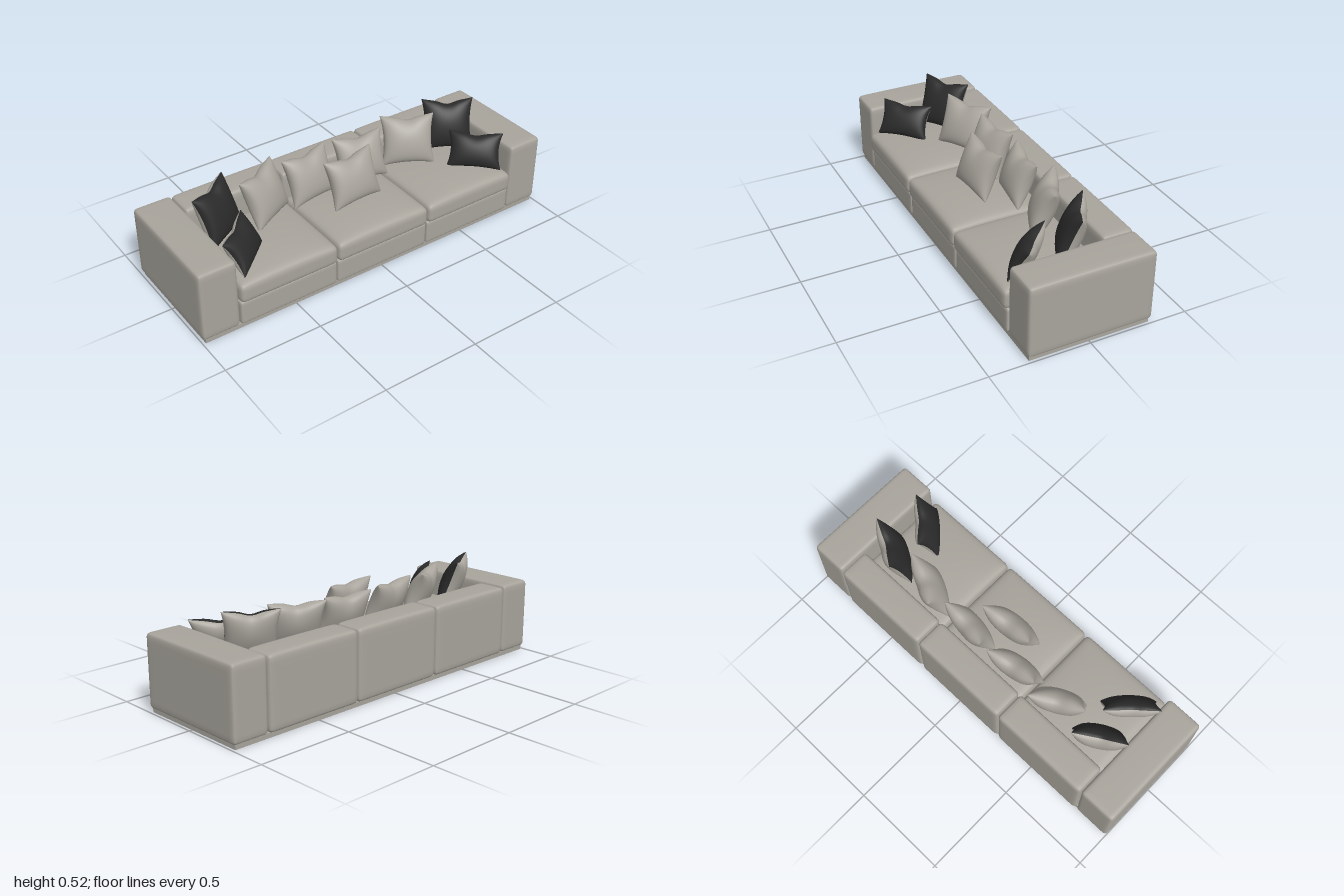
import * as THREE from 'three';
import { mergeVertices } from 'three/addons/utils/BufferGeometryUtils.js';

const fabric = new THREE.MeshStandardMaterial({ color: 0xa8a49c });
fabric.name = 'warm grey fabric';
const darkFabric = new THREE.MeshStandardMaterial({ color: 0x2a2a2b });
darkFabric.name = 'charcoal fabric';

// Smooth rounded block spanning the given ranges; crown swells the top
function softBox([x0, x1], [y0, y1], [z0, z1], r, crown = 0) {
  const half = new THREE.Vector3(x1 - x0, y1 - y0, z1 - z0).multiplyScalar(0.5);
  let geo = new THREE.BoxGeometry(2, 2, 2, 20, 14, 20);
  geo.deleteAttribute('uv');
  geo.deleteAttribute('normal');
  geo = mergeVertices(geo, 1e-5);
  const pos = geo.attributes.position;
  const inner = half.clone().subScalar(r);
  const p = new THREE.Vector3(), core = new THREE.Vector3();
  for (let i = 0; i < pos.count; i++) {
    p.fromBufferAttribute(pos, i);
    // crowd the grid lines towards the edges
    p.set(...p.toArray().map((c) => Math.sin(c * Math.PI / 2))).multiply(half);
    core.copy(p).clamp(inner.clone().negate(), inner);
    p.sub(core).setLength(r).add(core);
    const u = p.x / half.x, v = p.z / half.z;
    if (p.y > 0) p.y += crown * (p.y / half.y) * Math.sqrt(Math.max(0, (1 - u * u) * (1 - v * v)));
    pos.setXYZ(i, p.x, p.y, p.z);
  }
  geo.computeVertexNormals();
  geo.translate((x0 + x1) / 2, (y0 + y1) / 2, (z0 + z1) / 2);
  return geo;
}

// One half of a scatter cushion: pointed corners, pulled-in edges, dented top
function pillowHalf(w, h, t, side) {
  const geo = new THREE.PlaneGeometry(2, 2, 24, 24);
  if (side < 0) geo.rotateY(Math.PI);
  const pos = geo.attributes.position;
  for (let i = 0; i < pos.count; i++) {
    const u = Math.sin(pos.getX(i) * Math.PI / 2), v = Math.sin(pos.getY(i) * Math.PI / 2);
    const a = Math.max(0, 1 - u * u), b = Math.max(0, 1 - v * v);
    const upper = Math.max(0, v);
    const dent = Math.exp(-u * u * 10) * upper * upper;
    const x = w / 2 * u * (1 - 0.13 * b * u * u);
    const y = h / 2 * (v * (1 - 0.11 * a * v * v) - 0.12 * dent);
    const z = side * t * Math.pow(a * b, 0.42) * (1 - 0.35 * dent);
    pos.setXYZ(i, x, y, z);
  }
  geo.computeVertexNormals();
  return geo;
}

export function createModel() {
  const model = new THREE.Group();
  model.name = 'sofa';
  const add = (name, geo, material = fabric, parent = model) => {
    const mesh = new THREE.Mesh(geo, material);
    mesh.name = name;
    parent.add(mesh);
    return mesh;
  };

  // Plinth
  add('plinth', new THREE.BoxGeometry(1.97, 0.024, 0.61)).position.set(0, 0.012, -0.005);

  // Armrests
  add('leftArm', softBox([0.805, 1], [0.022, 0.388], [-0.322, 0.31], 0.02, 0.004));
  add('rightArm', softBox([-1, -0.805], [0.022, 0.388], [-0.322, 0.31], 0.02, 0.004));

  // Three modules, each with a backrest, a seat base and a seat cushion
  const edges = [-0.803, -0.272, 0.265, 0.803];
  for (let i = 0; i < 3; i++) {
    const span = [edges[i] + 0.002, edges[i + 1] - 0.002];
    add('backrest', softBox(span, [0.022, 0.382], [-0.327, -0.165], 0.022, 0.005));
    add('seatBase', softBox(span, [0.022, 0.152], [-0.18, 0.312], 0.014));
    add('seatCushion', softBox(span, [0.148, 0.247], [-0.17, 0.326], 0.026, 0.03));
  }

  // Scatter cushions: name, centre, width, height, half thickness, turn, tilt, front
  const pillows = [
    ['centrePillow', [-0.005, 0.385, 0.055], 0.29, 0.25, 0.06, 4, 22, fabric],
    ['backPillow', [-0.165, 0.385, -0.085], 0.275, 0.25, 0.058, 8, 22, fabric],
    ['backPillow', [0.14, 0.38, -0.085], 0.275, 0.245, 0.058, -8, 22, fabric],
  ];
  for (const s of [-1, 1]) {
    pillows.push(
      ['sidePillow', [s * 0.43, 0.388, -0.07], 0.28, 0.26, 0.06, -s * 28, 22, fabric],
      ['cornerPillow', [s * 0.69, 0.395, -0.065], 0.27, 0.27, 0.058, -s * 31, 20, darkFabric],
      ['smallPillow', [s * 0.69, 0.347, 0.16], 0.28, 0.19, 0.05, -s * 43, 30, darkFabric],
    );
  }
  for (const [name, centre, w, h, t, turn, tilt, front] of pillows) {
    const pillow = new THREE.Group();
    pillow.name = name;
    add(name + 'Front', pillowHalf(w, h, t, 1), front, pillow);
    add(name + 'Back', pillowHalf(w, h, t, -1), fabric, pillow);
    pillow.position.set(...centre);
    pillow.rotation.set(-THREE.MathUtils.degToRad(tilt), THREE.MathUtils.degToRad(turn), 0, 'YXZ');
    model.add(pillow);
  }
  return model;
}
